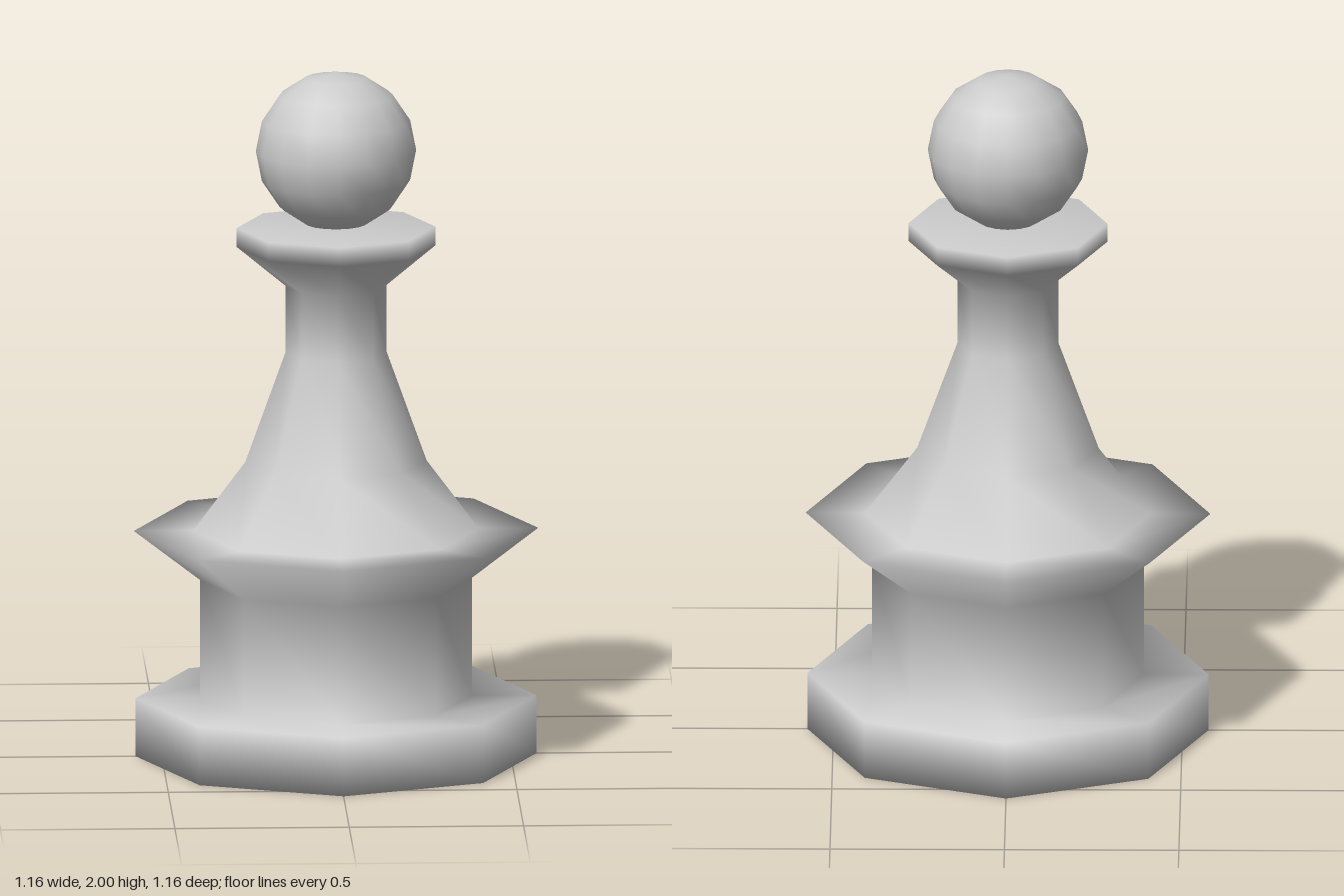
import * as THREE from 'three';

export function createModel() {
  const group = new THREE.Group();
  const material = new THREE.MeshStandardMaterial({ color: 0xcccccc });

  const addPart = (name, geometry, y = 0) => {
    const mesh = new THREE.Mesh(geometry, material);
    mesh.name = name;
    mesh.position.y = y;
    group.add(mesh);
  };

  // Eight-sided turned body: [radius, height] from the underside up to the collar top
  const profile = [
    [0, 0], [0.575, 0], [0.575, 0.17],                    // foot
    [0.39, 0.17], [0.39, 0.515],                          // drum
    [0.58, 0.66], [0.41, 0.66],                           // flared skirt
    [0.26, 0.86], [0.145, 1.18], [0.145, 1.375],          // tapering neck
    [0.285, 1.49], [0.285, 1.545], [0, 1.545],            // collar
  ].map(([r, y]) => new THREE.Vector2(r, y));
  addPart('body', new THREE.LatheGeometry(profile, 8));

  // Ball resting on the collar
  addPart('head', new THREE.SphereGeometry(0.23, 16, 8), 1.77);

  return group;
}
